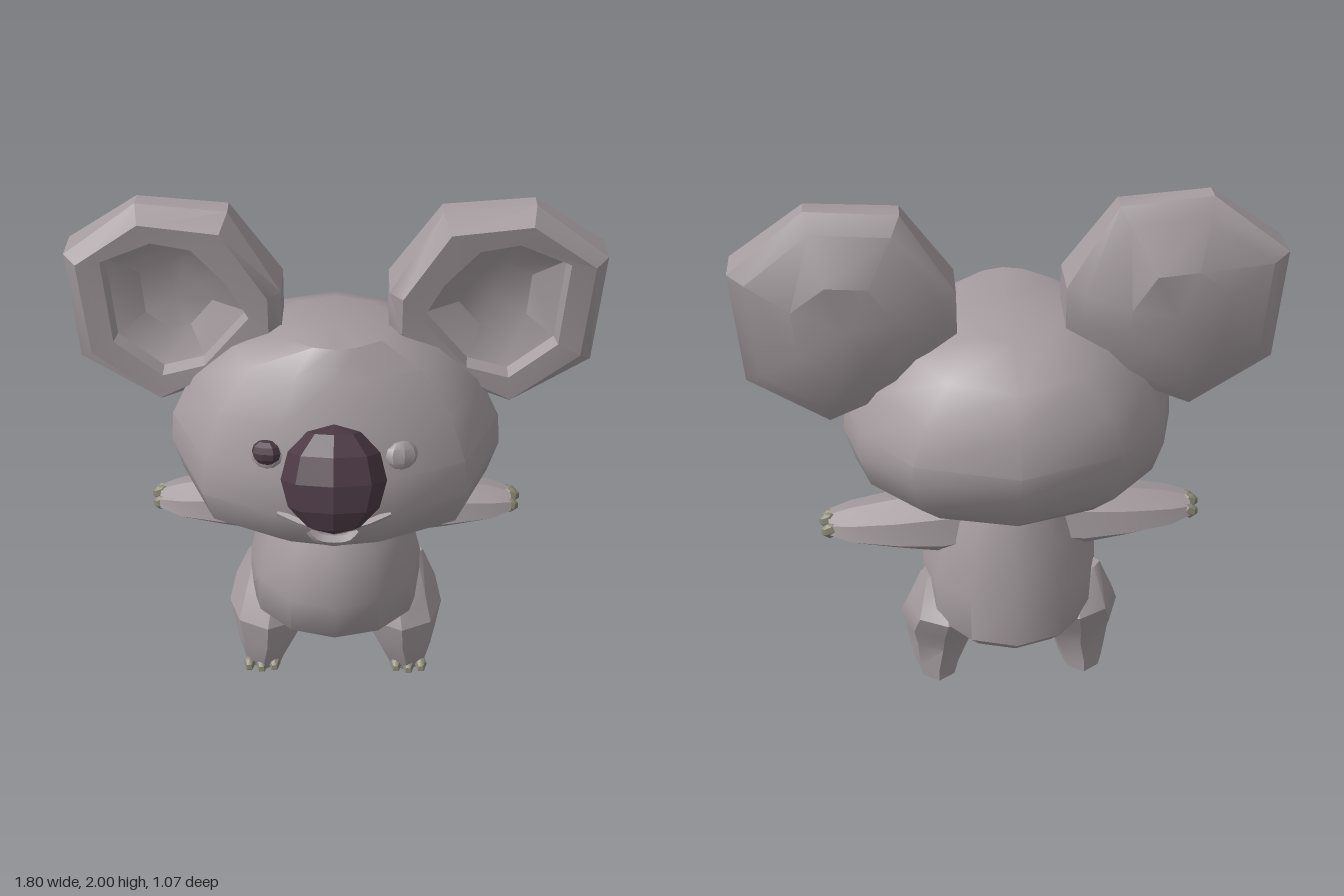
import * as THREE from 'three';
import { toCreasedNormals } from 'three/addons/utils/BufferGeometryUtils.js';

const mat = (name, color) => Object.assign(new THREE.MeshStandardMaterial({ color }), { name });
const V = (x, y, z) => new THREE.Vector3(x, y, z);

export function createModel() {
  const model = new THREE.Group();
  model.name = 'koala';
  const fur = mat('greyFur', 0xa49b9e);
  const plum = mat('darkPlum', 0x4b3944);
  const claw = mat('claw', 0x8a8774);

  function add(name, geometry, material, crease = 0.6) {
    const mesh = new THREE.Mesh(toCreasedNormals(geometry, crease), material);
    mesh.name = name;
    model.add(mesh);
    return mesh;
  }

  // Closed skin over rings that run counter-clockwise seen from the last ring; s = -1 mirrors in x
  function loft(rings, s = 1) {
    if (s < 0) rings = rings.map(r => r.map(p => V(-p.x, p.y, p.z)).reverse());
    const n = rings[0].length, last = rings.length - 1;
    const pts = rings.flat(), idx = [];
    for (let i = 0; i < last; i++) {
      for (let j = 0; j < n; j++) {
        const k = (j + 1) % n, a = i * n, b = a + n;
        idx.push(a + j, a + k, b + k, a + j, b + k, b + j);
      }
    }
    const centre = r => r.reduce((c, p) => c.add(p), V(0, 0, 0)).divideScalar(n);
    const c0 = pts.length, c1 = c0 + 1;
    const all = [...pts, centre(rings[0]), centre(rings[last])];
    for (let j = 0; j < n; j++) {
      const k = (j + 1) % n;
      idx.push(c0, k, j, c1, last * n + j, last * n + k);
    }
    const g = new THREE.BufferGeometry().setFromPoints(all);
    g.setIndex(idx);
    return g;
  }

  // Unit outlines seen from above: x across, second value toward the front
  const round = n => Array.from({ length: n }, (_, i) =>
    [Math.sin((i / n) * Math.PI * 2), Math.cos((i / n) * Math.PI * 2)]);
  const headHalf = [[0.35, 0.94], [0.77, 0.72], [1, 0.1], [0.9, -0.35], [0.6, -0.78]];
  const headOutline = [[0, 1], ...headHalf, [0, -1],
    ...headHalf.map(([x, z]) => [-x, z]).reverse()];

  // Horizontal ring: outline, x centre, half width, front z, back z, widest z, front y, back y
  function ring(outline, cx, w, zf, zb, zm, yf, yb = yf) {
    return outline.map(([u, v]) => {
      const z = zm + v * (v > 0 ? zf - zm : zm - zb);
      return V(cx + w * u, yf + (yb - yf) * (zf - z) / (zf - zb), z);
    });
  }

  // Head, wide at the cheeks and sloping up toward the back underneath
  add('head', loft([
    [0.20, 0.14, -0.25, 0.86, 0.92],
    [0.44, 0.27, -0.43, 0.835, 0.955],
    [0.55, 0.36, -0.485, 0.92, 1.03],
    [0.585, 0.41, -0.52, 1.06, 1.14],
    [0.575, 0.39, -0.535, 1.20, 1.23],
    [0.50, 0.33, -0.48, 1.38, 1.36],
    [0.37, 0.26, -0.41, 1.52, 1.48],
    [0.20, 0.20, -0.23, 1.605, 1.56],
  ].map(([w, zf, zb, yf, yb]) => ring(headOutline, 0, w, zf, zb, -0.05, yf, yb))), fur, 0.75);

  // Chin, upper lip and lower lip
  add('chin', loft([
    [0.15, 0.27, 0.838], [0.18, 0.35, 0.90], [0.165, 0.40, 0.99], [0.13, 0.41, 1.06],
  ].map(([w, zf, y]) => ring(round(10), 0, w, zf, 0.05, 0.2, y))), fur);
  const lip = (name, pts, r) =>
    add(name, new THREE.TubeGeometry(new THREE.CatmullRomCurve3(pts), 10, r, 5), fur);
  lip('upperLip', [V(-0.19, 1.07, 0.375), V(-0.1, 1.045, 0.405), V(0, 1.035, 0.42),
    V(0.1, 1.045, 0.405), V(0.19, 1.07, 0.375)], 0.014);
  lip('lowerLip', [V(-0.08, 1.015, 0.395), V(-0.05, 0.985, 0.405), V(0.05, 0.985, 0.405),
    V(0.08, 1.015, 0.395)], 0.02);

  // Large faceted nose, leaning back at the top
  const nose = add('nose', new THREE.SphereGeometry(1, 8, 6), plum, 0.3);
  nose.scale.set(0.175, 0.185, 0.112);
  nose.position.set(0, 1.235, 0.41);
  nose.rotation.x = -0.42;

  // Body, pear shaped with a round belly
  add('body', loft([
    [0.14, 0.06, -0.26, 0.275],
    [0.27, 0.16, -0.34, 0.29],
    [0.33, 0.25, -0.41, 0.37],
    [0.325, 0.29, -0.38, 0.55],
    [0.28, 0.23, -0.335, 0.74],
    [0.22, 0.13, -0.28, 0.89],
  ].map(([w, zf, zb, y]) => ring(round(12), 0, w, zf, zb, -0.06, y))), fur, 0.8);

  // Ear outer edge: x, y, front z, back z; and bowl edge, counter-clockwise from the front
  const outer = [
    [0.65, 2.0, -0.05, -0.11], [0.35, 1.975, -0.04, -0.11],
    [0.18, 1.71, 0.01, -0.15], [0.18, 1.56, 0.01, -0.15],
    [0.36, 1.38, 0.0, -0.19], [0.62, 1.23, -0.075, -0.14],
    [0.88, 1.43, -0.04, -0.17], [0.9, 1.82, -0.04, -0.165]];
  const inner = [[0.6, 1.89], [0.47, 1.87], [0.36, 1.75], [0.29, 1.62],
    [0.45, 1.42], [0.6, 1.37], [0.76, 1.5], [0.775, 1.81]];
  const earRing = (outline, k, zAt) => outline.map(p => {
    const dx = (p[0] - 0.55) * k, dy = (p[1] - 1.63) * k;
    return V(0.55 + dx, 1.63 + dy, zAt(p, dx, dy));
  });
  const face = drop => (p, dx, dy) => 0.015 - drop - dx * 0.08 + dy * 0.04;

  for (const s of [1, -1]) {
    const side = s > 0 ? 'left' : 'right';

    // Ear, domed behind, hollow in front and turned slightly outward
    add(side + 'Ear', loft([
      earRing(outer, 0.45, () => -0.24),
      earRing(outer, 0.85, p => p[3] * 0.55 - 0.1),
      earRing(outer, 1, p => p[3]),
      earRing(outer, 1, p => p[2]),
      earRing(outer, 0.88, face(0)),
      earRing(inner, 1, face(0.005)),
      earRing(inner, 0.95, face(0.055)),
      earRing(inner, 0.5, face(0.11)),
    ], s), fur, 0.5);

    // Eye: a raised lid on both sides, with a dark eyeball on the right only
    const lid = add(side + 'Eyelid', new THREE.SphereGeometry(1, 8, 6), fur);
    lid.scale.set(0.058, 0.05, 0.025);
    lid.position.set(s * 0.225, 1.275, 0.325);
    lid.rotation.set(-0.35, s * 0.35, 0);
    if (s < 0) {
      const eye = add('rightEye', new THREE.SphereGeometry(1, 8, 6), plum, 0.3);
      eye.scale.set(0.052, 0.043, 0.035);
      eye.position.set(-0.225, 1.288, 0.333);
      eye.rotation.set(-0.35, -0.35, 0);
    }

    // Arm, stretched sideways and tapering to the paw
    add(side + 'Arm', loft([
      [0.12, 0.755, 0.11, 0.12], [0.26, 0.75, 0.12, 0.135], [0.42, 0.752, 0.094, 0.128],
      [0.58, 0.752, 0.066, 0.1], [0.66, 0.758, 0.035, 0.065],
    ].map(([x, y, ry, rz]) => Array.from({ length: 7 }, (_, i) => {
      const a = Math.PI / 2 + (i / 7) * Math.PI * 2;
      return V(x, y + ry * Math.sin(a), -0.11 - rz * Math.cos(a));
    })), s), fur, 0.45);

    // Leg, with a broad thigh and flat foot
    add(side + 'Leg', loft([
      [0.285, 0.085, 0.05, -0.2, 0],
      [0.285, 0.1, 0.075, -0.2, 0.05],
      [0.266, 0.134, 0.095, -0.2, 0.16],
      [0.26, 0.16, 0.105, -0.25, 0.27],
      [0.245, 0.148, 0.05, -0.29, 0.37],
      [0.25, 0.09, -0.07, -0.16, 0.5],
    ].map(([cx, w, zf, zb, y]) =>
      ring(round(8), cx, w, zf, zb, (zf + zb) / 2, y)), s), fur, 0.45);

    // Three claws on each paw and foot
    for (const i of [-1, 0, 1]) {
      const hand = add(side + 'HandClaw', new THREE.SphereGeometry(1, 6, 4), claw);
      hand.scale.set(0.036, 0.03, 0.022);
      hand.position.set(s * (i ? 0.655 : 0.662), i ? 0.757 : 0.772, -0.115 + i * 0.042);
      hand.rotation.z = -s * 0.4;
      const foot = add(side + 'FootClaw', new THREE.SphereGeometry(1, 6, 4), claw);
      foot.scale.set(0.024, 0.028, 0.04);
      foot.position.set(s * (0.293 + i * 0.05), 0.035, i ? 0.045 : 0.055);
      foot.rotation.x = 0.3;
    }
  }
  return model;
}
